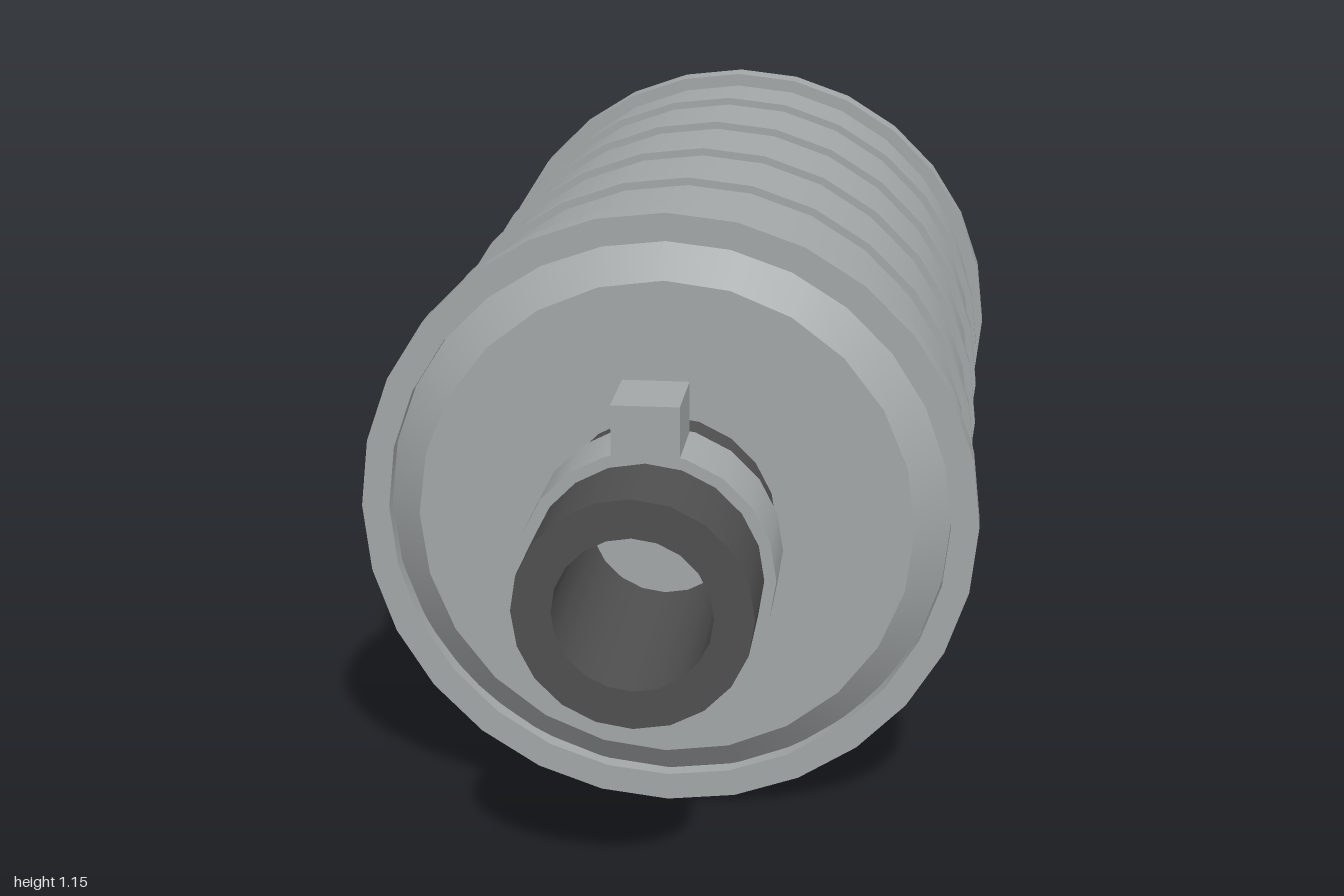
import * as THREE from 'three';
import { mergeGeometries } from 'three/addons/utils/BufferGeometryUtils.js';

const AXIS_Y = 0.577;

export function createModel() {
  const model = new THREE.Group();
  const steel = new THREE.MeshStandardMaterial({ color: 0xa3a7a8 });
  steel.name = 'grey steel';
  const rubber = new THREE.MeshStandardMaterial({ color: 0x4f4f4f });
  rubber.name = 'dark rubber';

  function add(name, geometry, material) {
    const mesh = new THREE.Mesh(geometry, material);
    mesh.name = name;
    model.add(mesh);
    return mesh;
  }

  // Turns a [radius, z] profile about the z axis; every profile corner stays sharp
  function turned(name, profile, sides, material) {
    const bands = profile.slice(1).map((p, i) =>
      new THREE.LatheGeometry([new THREE.Vector2(...profile[i]), new THREE.Vector2(...p)], sides));
    const geometry = mergeGeometries(bands).rotateX(Math.PI / 2).translate(0, AXIS_Y, 0);
    return add(name, geometry, material);
  }

  // Closed ring of rectangular section
  function ring(name, inner, outer, z0, z1, sides, material) {
    return turned(name, [[inner, z0], [outer, z0], [outer, z1], [inner, z1], [inner, z0]], sides, material);
  }

  // Canister drum and its closed rear rim
  turned('drum', [[0, -0.93], [0.55, -0.93], [0.55, 0.475], [0, 0.475]], 28, steel);
  turned('rearRim', [[0, -0.97], [0.577, -0.97], [0.577, -0.91], [0.54, -0.91]], 28, steel);

  // Front rim with a bevelled lid set inside it
  ring('frontRim', 0.525, 0.577, 0.45, 0.508, 28, steel);
  turned('frontLid', [[0.53, 0.473], [0.46, 0.54], [0, 0.54]], 24, steel);

  // Reinforcing bands
  for (const z of [0.143, -0.135, -0.412, -0.688]) {
    ring('drumBand', 0.54, 0.565, z - 0.0135, z + 0.0135, 28, steel);
  }

  // Hose and its clamp
  ring('hose', 0.138, 0.207, 0.535, 1, 20, rubber);
  ring('hoseClamp', 0.2, 0.228, 0.663, 0.815, 20, steel);
  const block = new THREE.BoxGeometry(0.12, 0.11, 0.152).translate(0, 0.832, 0.739);
  add('clampBlock', block, steel);

  // Rear inlet collar
  ring('rearCollar', 0.108, 0.13, -1, -0.965, 16, rubber);

  return model;
}
